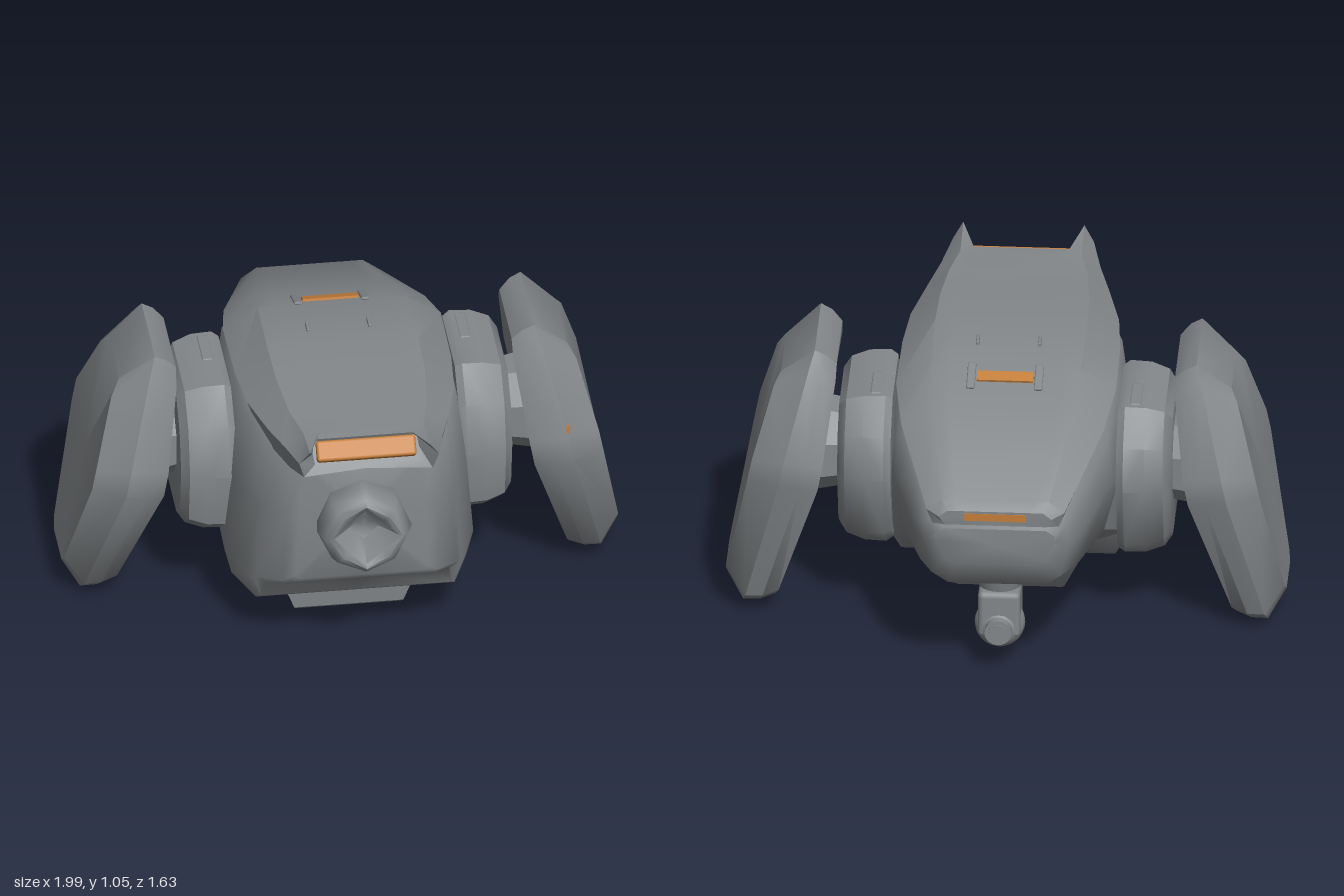
import * as THREE from 'three';
import { toCreasedNormals } from 'three/addons/utils/BufferGeometryUtils.js';
import { RoundedBoxGeometry } from 'three/addons/geometries/RoundedBoxGeometry.js';

const grey = new THREE.MeshStandardMaterial({ color: 0x84888b });
grey.name = 'armour grey';
const orange = new THREE.MeshStandardMaterial({ color: 0xc47e3a });
orange.name = 'signal orange';

function add(parent, name, geometry, material = grey, x = 0, y = 0, z = 0) {
  const mesh = new THREE.Mesh(geometry, material);
  mesh.name = name;
  mesh.position.set(x, y, z);
  parent.add(mesh);
  return mesh;
}

// Skin a closed solid through rings of equal point count, facing outwards
function loft(rings, crease = 0.6) {
  const n = rings[0].length, pos = rings.flat(2), idx = [];
  for (let r = 0; r < rings.length - 1; r++) {
    for (let i = 0; i < n; i++) {
      const a = r * n + i, b = r * n + (i + 1) % n;
      idx.push(a, b, a + n, b, b + n, a + n);
    }
  }
  [0, rings.length - 1].forEach((r, end) => {
    const c = pos.length / 3;
    for (let k = 0; k < 3; k++) pos.push(rings[r].reduce((s, p) => s + p[k], 0) / n);
    for (let i = 0; i < n; i++) {
      const a = r * n + i, b = r * n + (i + 1) % n;
      if (end) idx.push(a, b, c); else idx.push(b, a, c);
    }
  });
  const P = i => new THREE.Vector3().fromArray(pos, i * 3);
  let volume = 0;
  for (let i = 0; i < idx.length; i += 3) {
    volume += P(idx[i]).dot(P(idx[i + 1]).cross(P(idx[i + 2])));
  }
  if (volume < 0) idx.reverse();
  const g = new THREE.BufferGeometry();
  g.setAttribute('position', new THREE.Float32BufferAttribute(pos, 3));
  g.setIndex(idx);
  return toCreasedNormals(g, crease);
}

// Half section [x, y, dz] from top centre to bottom centre, mirrored to a ring
function section(z, half) {
  const right = half.map(([x, y, dz = 0]) => [x, y, z + dz]);
  const left = right.slice(1, -1).reverse().map(([x, y, w]) => [-x, y, w]);
  return [...right, ...left];
}

// Piecewise linear lookup through [key, value] pairs with falling keys
function lookup(table, k) {
  let i = 0;
  while (i < table.length - 2 && k < table[i + 1][0]) i++;
  const [k0, v0] = table[i], [k1, v1] = table[i + 1];
  return v0 + (v1 - v0) * (k - k0) / (k1 - k0);
}

function hull() {
  const rows = [ // z, top x, top y, shoulder x, y, waist x, low x, low y, belly x, y
    [0.592, 0.19, 0.85, 0.21, 0.83, 0.225, 0.24, 0.37, 0.22, 0.355],
    [0.572, 0.22, 0.88, 0.25, 0.85, 0.265, 0.28, 0.34, 0.26, 0.325],
    [0.47, 0.27, 0.90, 0.32, 0.86, 0.34, 0.36, 0.30, 0.33, 0.275],
    [0.445, 0.28, 0.90, 0.33, 0.86, 0.35, 0.375, 0.285, 0.34, 0.20],
    [0.42, 0.29, 0.90, 0.34, 0.86, 0.365, 0.39, 0.28, 0.355, 0.18],
    [0.25, 0.34, 0.91, 0.385, 0.87, 0.42, 0.445, 0.28, 0.42, 0.18],
    [-0.08, 0.34, 0.90, 0.39, 0.86, 0.42, 0.44, 0.29, 0.38, 0.19],
    [-0.38, 0.31, 0.85, 0.37, 0.80, 0.39, 0.36, 0.45, 0.24, 0.375],
    [-0.60, 0.26, 0.765, 0.30, 0.72, 0.315, 0.28, 0.43, 0.20, 0.37],
    [-0.75, 0.22, 0.70, 0.25, 0.665, 0.26, 0.23, 0.46, 0.17, 0.42],
    [-0.81, 0.18, 0.67, 0.21, 0.65, 0.21, 0.18, 0.55, 0.14, 0.53],
  ];
  return loft(rows.map(([z, tx, ty, sx, sy, wx, lx, ly, bx, by]) => section(z, [
    [0, ty], [tx, ty], [sx, sy], [wx, (sy + ly) / 2 + 0.02], [lx, ly], [bx, by], [0, by],
  ])), 0.9);
}

function shell() {
  const rows = [ // z, flat half width, top y, rim half width, rim y, underside y
    [-0.818, 0.17, 0.745, 0.20, 0.72, 0.69],
    [-0.79, 0.19, 0.775, 0.245, 0.735, 0.68],
    [-0.40, 0.25, 0.925, 0.36, 0.86, 0.82],
    [-0.20, 0.265, 0.995, 0.39, 0.915, 0.87],
    [0.10, 0.27, 1.015, 0.387, 0.92, 0.88],
    [0.30, 0.265, 1.01, 0.37, 0.925, 0.87],
    [0.50, 0.245, 1.0, 0.322, 0.935, 0.85],
    [0.64, 0.215, 1.0, 0.283, 0.95, 0.86],
  ];
  const rings = rows.map(([z, fx, ty, rx, ry, uy]) => section(z, [
    [0, ty], [fx * 0.75, ty], [fx, ty], [rx, ry], [rx - 0.02, uy], [0, uy],
  ]));
  // Notched front edge with two forward horns around a sloping recess
  rings.push(section(0.7, [
    [0, 0.997, -0.02], [0.17, 0.997, -0.02], [0.215, 1.025, 0.11], [0.25, 0.97, 0.09], [0.23, 0.90, 0.07], [0, 0.90, 0.04],
  ]));
  rings.push(section(0.7, [
    [0, 0.985, -0.025], [0.175, 0.985, -0.025], [0.185, 0.98, -0.02], [0.19, 0.95, 0], [0.185, 0.92, 0.025], [0, 0.92, 0.025],
  ]));
  return loft(rings);
}

// Front sensor with a diamond-shaped socket
function sensor() {
  const ring = (z, r, diag = r) => Array.from({ length: 8 }, (_, i) => {
    const a = i * Math.PI / 4, q = i % 2 ? diag : r;
    return [q * Math.cos(a), 0.595 + q * Math.sin(a), z];
  });
  return loft([ring(0.5, 0.14), ring(0.59, 0.16), ring(0.66, 0.17, 0.165), ring(0.715, 0.15, 0.145),
    ring(0.73, 0.13, 0.115), ring(0.72, 0.115, 0.088), ring(0.65, 0.05, 0.038)], 1);
}

// Plate built from a (z, y) outline; layers give scale, an x rule and a y shift
function plate(outline, cz, cy, layers, s, crease) {
  return loft(layers.map(([k, xAt, dy = 0]) => outline.map(([z, y]) => {
    const yy = cy + (y - cy) * k + dy;
    return [s * xAt(yy), yy, cz + (z - cz) * k];
  })), crease);
}

function side(s) {
  const g = new THREE.Group();
  g.name = s > 0 ? 'leftLimb' : 'rightLimb';
  // Shoulder housing
  const housing = [[0.10, 0.89], [-0.25, 0.89], [-0.36, 0.78], [-0.39, 0.62], [-0.30, 0.36],
    [-0.22, 0.29], [0.10, 0.29], [0.22, 0.38], [0.26, 0.60], [0.21, 0.78]];
  const flat = x => () => x;
  add(g, 'shoulderHousing', plate(housing, -0.06, 0.59,
    [[0.95, flat(0.4)], [1, flat(0.425)], [0.99, flat(0.5)], [0.92, flat(0.565)], [0.8, flat(0.592)]], s));
  add(g, 'housingRib', new RoundedBoxGeometry(0.04, 0.02, 0.16, 2, 0.006), grey, s * 0.46, 0.882, -0.15);
  // Hip joint
  const joint = new THREE.CylinderGeometry(0.15, 0.18, 0.16, 8);
  joint.rotateY(Math.PI / 8);
  joint.rotateZ(s * Math.PI / 2);
  add(g, 'hipJoint', toCreasedNormals(joint, 0.5), grey, s * 0.63, 0.61, -0.075);
  // Leg armour, leaning out towards the ground
  const outline = [[0.13, 1.05], [-0.22, 1.05], [-0.265, 1.0], [-0.425, 0.70], [-0.42, 0.60], [-0.27, 0.08],
    [-0.22, 0.04], [0.03, 0.04], [0.08, 0.08], [0.295, 0.57], [0.29, 0.67], [0.17, 0.98]];
  const inner = y => lookup([[0.99, 0.6], [0.86, 0.605], [0.48, 0.675], [0.05, 0.82]], y);
  const outer = y => lookup([[1.05, 0.74], [0.84, 0.86], [0.15, 0.995]], y);
  const mix = t => y => inner(y) + (outer(y) - inner(y)) * t;
  add(g, 'legArmour', plate(outline, -0.06, 0.55,
    [[0.92, inner, -0.02], [0.98, mix(0.25), -0.01], [1, mix(0.56)], [0.79, outer]], s, 0.6));
  if (s > 0) {
    add(g, 'legMarker', new THREE.BoxGeometry(0.012, 0.03, 0.008), orange, 0.78, 0.7, 0.283);
    const strip = add(g, 'legTopMarker', new THREE.BoxGeometry(0.014, 0.009, 0.13), orange, 0.645, 1.026, -0.05);
    strip.rotation.z = 0.5;
  } else {
    g.position.y = -0.015;
  }
  return g;
}

// Small swivelling pod under the tail
function tailPod() {
  const g = new THREE.Group();
  g.name = 'tailPod';
  g.position.z = -0.53;
  add(g, 'podMount', new THREE.CylinderGeometry(0.095, 0.08, 0.06, 24), grey, 0, 0.34, 0);
  add(g, 'podNeck', new THREE.CylinderGeometry(0.05, 0.05, 0.06, 16), grey, 0, 0.3, 0);
  add(g, 'podBody', new RoundedBoxGeometry(0.15, 0.18, 0.155, 2, 0.02), grey, 0, 0.21, 0);
  add(g, 'podBall', new THREE.SphereGeometry(0.09, 20, 14), grey, 0, 0.155, -0.01);
  for (const [r, z] of [[0.035, -0.09], [0.048, -0.115]]) {
    const barrel = new THREE.CylinderGeometry(r, r, r > 0.04 ? 0.03 : 0.09, 16);
    barrel.rotateX(Math.PI / 2);
    add(g, 'podBarrel', barrel, grey, 0, 0.17, z);
  }
  return g;
}

export function createModel() {
  const model = new THREE.Group();
  model.name = 'walker';
  add(model, 'hull', hull());
  add(model, 'topShell', shell());
  add(model, 'frontSensor', sensor());

  // Belly block
  const rect = (y, x, z0, z1) => [[x, y, z0], [x, y, z1], [-x, y, z1], [-x, y, z0]];
  add(model, 'bellyBlock', loft([rect(0.24, 0.27, 0.275, -0.16), rect(0.17, 0.255, 0.265, -0.1),
    rect(0.01, 0.195, 0.25, 0), rect(0, 0.185, 0.24, 0.01)]));

  // Orange lights along the spine
  const frontLight = add(model, 'frontLight', new RoundedBoxGeometry(0.355, 0.075, 0.04, 2, 0.01), orange, 0, 0.957, 0.702);
  frontLight.rotation.x = -0.75;
  const spineLight = add(model, 'spineLight', new THREE.BoxGeometry(0.2, 0.009, 0.045), orange, 0, 0.983, -0.25);
  spineLight.rotation.x = -0.34;
  add(model, 'rearLight', new THREE.BoxGeometry(0.22, 0.028, 0.008), orange, 0, 0.722, -0.816);

  for (const s of [1, -1]) {
    const tab = add(model, 'spineTab', new RoundedBoxGeometry(0.03, 0.012, 0.12, 1, 0.005), grey, s * 0.12, 0.983, -0.25);
    tab.rotation.x = -0.34;
    add(model, 'topFin', new RoundedBoxGeometry(0.012, 0.02, 0.06, 1, 0.004), grey, s * 0.11, 1.008, -0.03);
    model.add(side(s));
  }
  model.add(tailPod());
  return model;
}
